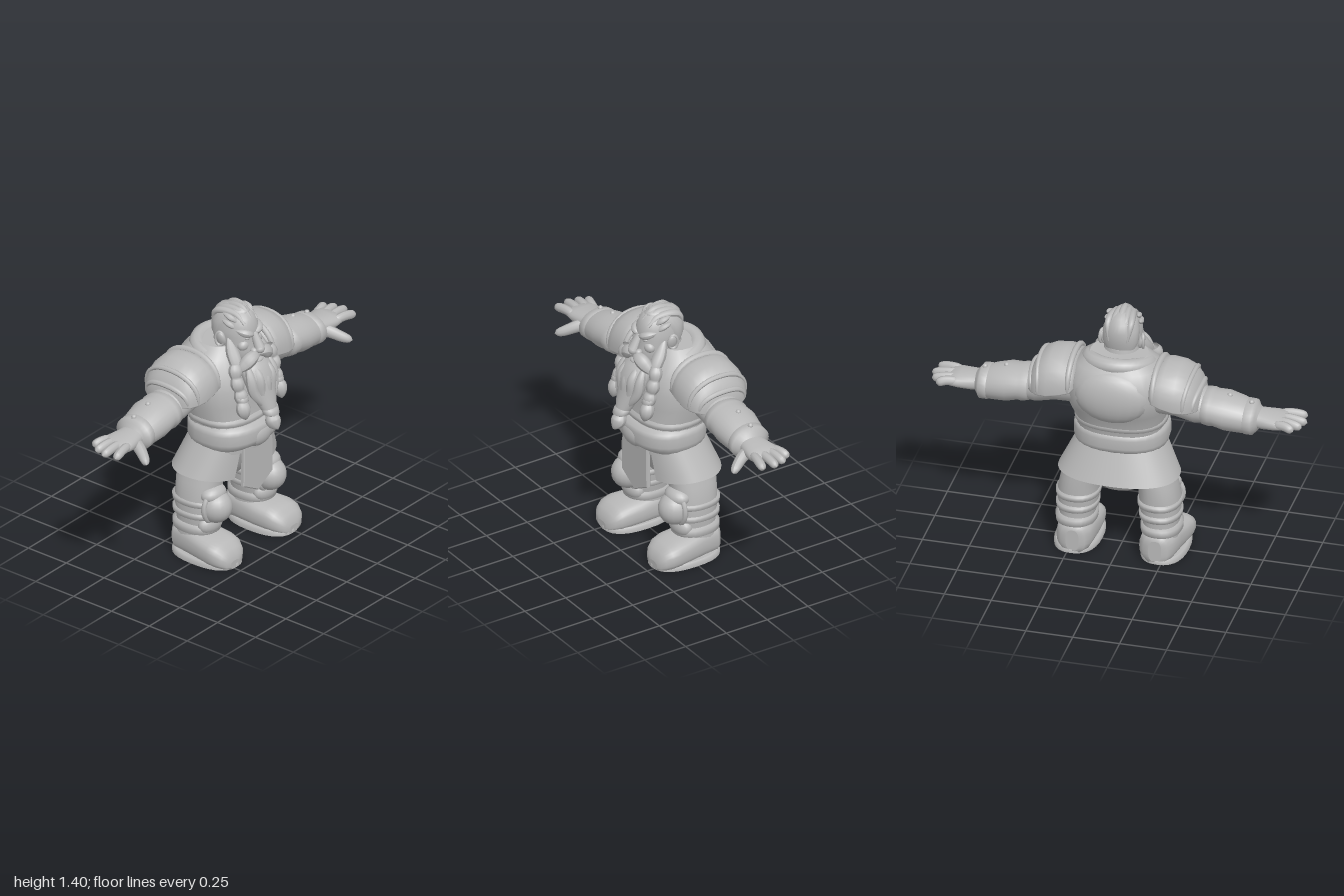
import * as THREE from 'three';

const stone = new THREE.MeshStandardMaterial({ color: 0xb8b8b8 });
stone.name = 'plain grey';
stone.side = THREE.DoubleSide;

const V = (a) => new THREE.Vector3(...a);
const power = (c, e) => Math.sign(c) * Math.abs(c) ** e;

// Rings of [t, centreU, centreV, radiusU, radiusV] along an axis; (u, v) is (y,z), (z,x) or (x,y).
// e < 1 makes the section boxy; low scales the negative u side (for flat undersides).
function loft(axis, rows, { e = 1, n = 28, low = 1 } = {}) {
  const pos = [], idx = [];
  const put = (t, u, v) => pos.push(...(axis === 'x' ? [t, u, v] : axis === 'y' ? [v, t, u] : [u, v, t]));
  const ring = ([t, cu, cv, ru, rv]) => {
    for (let j = 0; j < n; j++) {
      const a = (j / n) * Math.PI * 2, c = power(Math.cos(a), e);
      put(t, cu + ru * c * (c < 0 ? low : 1), cv + rv * power(Math.sin(a), e));
    }
  };
  rows.forEach(ring);
  for (let i = 0; i < rows.length - 1; i++) for (let j = 0; j < n; j++) {
    const a = i * n + j, b = i * n + (j + 1) % n;
    idx.push(a, b, b + n, a, b + n, a + n);
  }
  [rows[0], rows.at(-1)].forEach((r, k) => {
    const s = pos.length / 3;
    ring(r);
    put(r[0], r[1], r[2]);
    for (let j = 0; j < n; j++) {
      const a = s + j, b = s + (j + 1) % n;
      idx.push(s + n, ...(k ? [a, b] : [b, a]));
    }
  });
  const g = new THREE.BufferGeometry();
  g.setAttribute('position', new THREE.Float32BufferAttribute(pos, 3));
  g.setIndex(idx);
  g.computeVertexNormals();
  return g;
}

// Tube whose radius follows a function of 0..1 along the path.
function strand(points, radius, seg = 24) {
  const path = new THREE.CatmullRomCurve3(points.map(V));
  const g = new THREE.TubeGeometry(path, seg, 1, 10);
  const p = g.attributes.position, nr = g.attributes.normal, q = new THREE.Vector3(), m = new THREE.Vector3();
  for (let i = 0; i < p.count; i++) {
    const t = Math.floor(i / 11) / seg;
    path.getPointAt(t, q);
    q.addScaledVector(m.fromBufferAttribute(nr, i), radius(t));
    p.setXYZ(i, q.x, q.y, q.z);
  }
  g.computeVertexNormals();
  return g;
}
const taper = (r) => (t) => r * Math.sqrt(Math.max(0.001, 1 - Math.abs(2 * t - 1) ** 5));
const lock = (r) => (t) => r * Math.sin(Math.PI * (0.06 + 0.93 * t)) ** 0.7;

const blob = (c, r, rz = 0) => new THREE.SphereGeometry(1, 20, 14).scale(...r).rotateZ(rz).translate(...c);

function plate(points, depth) {
  return new THREE.ExtrudeGeometry(new THREE.Shape(points.map((p) => new THREE.Vector2(...p))),
    { depth, bevelEnabled: true, bevelSize: 0.006, bevelThickness: 0.005, bevelSegments: 1 });
}

// Flared cloth sheet wrapped round the hips, open at the front.
function skirtSheet() {
  const open = 0.42;
  const g = new THREE.CylinderGeometry(1, 1, 1, 48, 5, true, open, Math.PI * 2 - 2 * open);
  const p = g.attributes.position;
  for (let i = 0; i < p.count; i++) {
    const t = 0.5 - p.getY(i), x = p.getX(i), z = p.getZ(i);
    const hem = 0.478 - 0.03 * Math.max(0, z) ** 2;
    p.setXYZ(i, power(x, 0.85) * (0.225 + 0.095 * t), 0.67 + (hem - 0.67) * t,
      -0.015 - 0.045 * t + power(z, 0.85) * (0.175 + 0.03 * t));
  }
  g.computeVertexNormals();
  return g;
}

function mirrored(geo) {
  const g = geo.clone().scale(-1, 1, 1);
  const idx = g.index ? [...g.index.array] : Array.from({ length: g.attributes.position.count }, (_, i) => i);
  for (let i = 0; i < idx.length; i += 3) [idx[i], idx[i + 1]] = [idx[i + 1], idx[i]];
  return g.setIndex(idx);
}

export function createModel() {
  const model = new THREE.Group();
  model.name = 'bearded warrior';
  const add = (name, geo) => {
    const m = new THREE.Mesh(geo, stone);
    m.name = name;
    model.add(m);
  };
  const pair = (name, geo) => {
    add(name + 'Left', geo);
    add(name + 'Right', mirrored(geo));
  };

  // Torso, belt and collar
  add('torso', loft('y', [
    [0.6, -0.01, 0, 0.18, 0.22], [0.7, -0.01, 0, 0.19, 0.225], [0.79, -0.02, 0, 0.185, 0.235],
    [0.88, -0.045, 0, 0.21, 0.262], [0.97, -0.062, 0, 0.225, 0.272], [1.06, -0.07, 0, 0.208, 0.262],
    [1.13, -0.075, 0, 0.165, 0.22], [1.18, -0.07, 0, 0.12, 0.15]], { e: 0.82 }));
  add('belt', loft('y', [
    [0.62, 0, 0, 0.17, 0.225], [0.645, 0, 0, 0.2, 0.243], [0.67, 0, 0, 0.208, 0.25],
    [0.72, 0, 0, 0.208, 0.25], [0.745, 0, 0, 0.203, 0.245], [0.76, 0, 0, 0.175, 0.222]], { e: 0.85 }));
  add('beltBuckle', blob([0, 0.68, 0.165], [0.095, 0.07, 0.052]));
  add('waistFold', loft('y', [
    [0.75, -0.01, 0, 0.17, 0.22], [0.77, -0.015, 0, 0.192, 0.243], [0.79, -0.015, 0, 0.192, 0.243],
    [0.81, -0.02, 0, 0.18, 0.23]], { e: 0.85 }));
  add('collar', new THREE.TorusGeometry(0.13, 0.042, 12, 36).scale(1.15, 1, 1).rotateX(Math.PI / 2 + 0.2)
    .translate(0, 1.13, -0.06));
  add('backPlate', blob([0, 0.99, -0.215], [0.2, 0.15, 0.083]));

  // Skirt and hanging flap
  add('skirt', skirtSheet());
  add('frontFlap', plate([[-0.11, 0.66], [-0.115, 0.41], [0, 0.345], [0.115, 0.41], [0.11, 0.66]], 0.015)
    .translate(0, 0, 0.148));
  add('hips', loft('y', [[0.38, -0.06, 0, 0.07, 0.1], [0.43, -0.06, 0, 0.12, 0.2], [0.5, -0.05, 0, 0.15, 0.25],
    [0.6, -0.02, 0, 0.16, 0.225]]));

  // Legs, straps, knee guards and boots
  pair('leg', loft('y', [
    [0.06, -0.07, 0.225, 0.11, 0.095], [0.16, -0.06, 0.225, 0.112, 0.092], [0.21, -0.056, 0.222, 0.112, 0.095],
    [0.25, -0.055, 0.22, 0.12, 0.103], [0.34, -0.055, 0.216, 0.125, 0.108], [0.43, -0.057, 0.205, 0.128, 0.1],
    [0.52, -0.05, 0.18, 0.13, 0.1]], { e: 0.9 }));
  [[0.325, 0.04, 0.217, 0.122], [0.255, 0.04, 0.221, 0.118], [0.175, 0.055, 0.226, 0.115]]
    .forEach(([y, h, x, r], i) => pair('legStrap' + i, loft('y', [
      [y - h / 2, -0.058, x, r - 0.01, r - 0.025], [y - h / 3, -0.058, x, r + 0.014, r - 0.008],
      [y + h / 3, -0.058, x, r + 0.016, r - 0.006], [y + h / 2, -0.058, x, r - 0.01, r - 0.025]], { e: 0.9 })));
  pair('kneeGuard', blob([0.222, 0.305, 0.06], [0.085, 0.09, 0.092]));
  pair('kneeTopPlate', blob([0.222, 0.375, 0.045], [0.08, 0.05, 0.062]));
  pair('kneeRim', new THREE.TorusGeometry(0.082, 0.014, 8, 24).scale(1.05, 1.1, 1).translate(0.222, 0.31, 0.055));
  pair('shinGuard', blob([0.226, 0.2, 0.03], [0.085, 0.06, 0.05]));
  pair('boot', loft('z', [
    [-0.185, 0.22, 0.075, 0.035, 0.06], [-0.178, 0.22, 0.08, 0.065, 0.08], [-0.15, 0.22, 0.085, 0.092, 0.085],
    [-0.05, 0.225, 0.085, 0.104, 0.085], [0.03, 0.23, 0.077, 0.112, 0.077], [0.1, 0.237, 0.074, 0.118, 0.074],
    [0.15, 0.24, 0.066, 0.112, 0.066], [0.185, 0.242, 0.052, 0.092, 0.052], [0.203, 0.243, 0.036, 0.066, 0.036],
    [0.209, 0.243, 0.025, 0.035, 0.02]], { e: 0.75 }));
  pair('bootSole', loft('y', [
    [0, 0.012, 0.23, 0.198, 0.122], [0.022, 0.012, 0.23, 0.198, 0.122], [0.03, 0.012, 0.23, 0.185, 0.112]], { e: 0.82 }));

  // Shoulder armour
  pair('shoulderPlate', loft('x', [
    [0.2, 1.02, -0.09, 0.1, 0.15], [0.215, 1.01, -0.09, 0.15, 0.18], [0.27, 0.995, -0.093, 0.18, 0.187],
    [0.34, 0.98, -0.093, 0.188, 0.187], [0.39, 0.975, -0.093, 0.17, 0.176], [0.425, 0.97, -0.09, 0.13, 0.152],
    [0.447, 0.965, -0.09, 0.095, 0.12], [0.458, 0.965, -0.09, 0.05, 0.07]], { e: 0.88, low: 0.15 }));
  const arch = (x, y, ry, rz, bend) => Array.from({ length: 9 }, (_, i) => {
    const a = (i / 8) * Math.PI;
    return [x - bend * Math.cos(a) ** 2, y + ry * Math.sin(a) ** 0.88, -0.092 + rz * power(Math.cos(a), 0.88)];
  });
  pair('shoulderInnerRim', strand(arch(0.225, 1.0, 0.168, 0.178, 0), taper(0.016)));
  pair('shoulderOuterRim', strand(arch(0.405, 0.97, 0.16, 0.176, 0.02), taper(0.013)));
  pair('shoulderLowerRim', strand(arch(0.447, 0.965, 0.095, 0.14, 0.02), taper(0.014)));

  // Arms and bracers
  pair('upperArm', loft('x', [
    [0.18, 0.99, -0.08, 0.12, 0.13], [0.32, 0.98, -0.085, 0.11, 0.125], [0.42, 0.945, -0.085, 0.1, 0.115],
    [0.52, 0.93, -0.08, 0.08, 0.1]]));
  pair('bracer', loft('x', [
    [0.45, 0.935, -0.08, 0.07, 0.09], [0.465, 0.935, -0.08, 0.093, 0.12], [0.5, 0.932, -0.08, 0.096, 0.125],
    [0.52, 0.93, -0.08, 0.092, 0.12], [0.58, 0.922, -0.08, 0.1, 0.126], [0.66, 0.908, -0.078, 0.092, 0.113],
    [0.7, 0.9, -0.077, 0.083, 0.104]]));
  pair('bracerCuff', loft('x', [
    [0.675, 0.903, -0.077, 0.07, 0.09], [0.685, 0.902, -0.077, 0.09, 0.113], [0.725, 0.899, -0.075, 0.088, 0.113],
    [0.74, 0.897, -0.075, 0.07, 0.085], [0.76, 0.897, -0.072, 0.045, 0.06]]));
  [0.595, 0.71].forEach((x, i) => pair('bracerStud' + i, blob([x, 1.015 - (x - 0.595) * 0.22, -0.085], [0.014, 0.014, 0.014])));

  // Hands
  pair('palm', loft('x', [
    [0.72, 0.9, -0.072, 0.05, 0.068], [0.78, 0.897, -0.07, 0.047, 0.077], [0.84, 0.9, -0.072, 0.04, 0.088],
    [0.885, 0.9, -0.073, 0.03, 0.088], [0.9, 0.898, -0.073, 0.016, 0.075]], { e: 0.9 }));
  [[-0.132, -0.165, 0.95], [-0.095, -0.117, 0.985], [-0.053, -0.06, 1.0], [-0.013, 0.012, 0.985]].forEach(([z0, z1, x], i) =>
    pair('finger' + i, strand([[0.84, 0.905, z0], [0.91, 0.908, (z0 + z1) / 2], [x, 0.895, z1]], taper(0.0245), 16)));
  pair('thumb', strand([[0.76, 0.89, -0.05], [0.79, 0.87, 0.02], [0.815, 0.85, 0.065], [0.845, 0.832, 0.108]],
    (t) => taper(0.037 - 0.014 * t)(t), 16));

  // Head, ears and face
  add('neck', loft('y', [[1.06, -0.03, 0, 0.1, 0.11], [1.2, -0.01, 0, 0.09, 0.09]]));
  add('head', loft('y', [
    [1.08, 0.05, 0, 0.08, 0.065], [1.12, 0.042, 0, 0.11, 0.088], [1.18, 0.03, 0, 0.12, 0.097],
    [1.24, 0.022, 0, 0.117, 0.098], [1.26, 0.021, 0, 0.122, 0.096], [1.3, 0.018, 0, 0.118, 0.09],
    [1.335, 0.014, 0, 0.108, 0.076], [1.36, 0.013, 0, 0.085, 0.055], [1.37, 0.013, 0, 0.04, 0.025]], { e: 0.88 }));
  add('hairCap', loft('y', [
    [1.18, -0.045, 0, 0.045, 0.075], [1.24, -0.04, 0, 0.07, 0.096], [1.3, -0.025, 0, 0.088, 0.094],
    [1.345, 0, 0, 0.1, 0.076], [1.37, 0.01, 0, 0.085, 0.05], [1.382, 0.015, 0, 0.05, 0.028]]));
  [-0.05, -0.025, 0, 0.025, 0.05].forEach((x, i) => add('hairTuft' + i, strand([
    [x, 1.335 - Math.abs(x) * 0.4, 0.115], [x * 0.9, 1.378 - Math.abs(x) * 0.5, 0.05], [x * 1.2, 1.345, -0.06], [x, 1.25, -0.1]], lock(0.02))));
  [[0.075, 1.31], [0.065, 1.345]].forEach(([x, y], i) => pair('sideTuft' + i, strand([
    [x, y - 0.02, 0.075], [x + 0.012, y, 0.04], [x + 0.018, y + 0.015, 0]], lock(0.016), 10)));
  pair('ear', blob([0.1, 1.215, 0.0], [0.018, 0.044, 0.03], -0.25));
  pair('earRim', new THREE.TorusGeometry(0.03, 0.008, 8, 20).scale(0.8, 1.25, 1).rotateY(1.2).translate(0.108, 1.218, -0.002));
  pair('brow', strand([[0.006, 1.252, 0.14], [0.045, 1.265, 0.134], [0.086, 1.285, 0.085]], lock(0.021), 16));
  pair('eye', blob([0.04, 1.237, 0.126], [0.018, 0.011, 0.012], 0.2));
  pair('cheek', blob([0.052, 1.198, 0.108], [0.036, 0.03, 0.03], -0.3));
  add('noseBridge', strand([[0, 1.26, 0.135], [0, 1.22, 0.155], [0, 1.18, 0.175]], (t) => 0.018 + 0.01 * t, 12));
  add('noseTip', blob([0, 1.175, 0.174], [0.028, 0.024, 0.027]));
  pair('nostril', blob([0.027, 1.17, 0.158], [0.018, 0.016, 0.02]));
  add('lowerLip', blob([0, 1.108, 0.165], [0.035, 0.014, 0.02]));

  // Moustache, beard and braids
  pair('moustache', strand([[0.002, 1.145, 0.165], [0.045, 1.142, 0.165], [0.09, 1.11, 0.15], [0.135, 1.08, 0.14]], lock(0.038)));
  pair('sideburn', strand([[0.088, 1.23, 0.04], [0.095, 1.16, 0.07], [0.11, 1.1, 0.11], [0.13, 1.04, 0.14]], lock(0.036)));
  add('beard', loft('y', [
    [0.84, 0.235, 0, 0.04, 0.042], [0.9, 0.21, 0, 0.052, 0.066], [0.97, 0.18, 0, 0.064, 0.092],
    [1.04, 0.158, 0, 0.076, 0.103], [1.09, 0.13, 0, 0.07, 0.095], [1.13, 0.11, 0, 0.05, 0.07]]));
  [0.08, 0.042].forEach((x, i) => pair('beardLock' + i, strand([
    [x, 1.1, 0.16], [x * 1.1, 1.03, 0.188 + i * 0.02], [x, 0.96, 0.2 + i * 0.015], [x * 0.5, 0.87, 0.235]], lock(0.029))));
  add('beardMiddleLock', strand([[0, 1.09, 0.175], [0, 1.02, 0.212], [0, 0.95, 0.222], [0, 0.87, 0.245]], lock(0.03)));
  add('beardBand', loft('y', [
    [0.815, 0.25, 0, 0.03, 0.03], [0.825, 0.25, 0, 0.042, 0.047], [0.85, 0.24, 0, 0.042, 0.047], [0.86, 0.238, 0, 0.03, 0.035]]));
  add('beardTip', strand([[0, 0.83, 0.25], [0, 0.785, 0.262], [0, 0.74, 0.295]], lock(0.041), 16));
  pair('braid', strand([[0.135, 1.12, 0.12], [0.15, 1.05, 0.14], [0.145, 0.97, 0.162], [0.145, 0.92, 0.176]],
    (t) => 0.027 + 0.01 * Math.abs(Math.sin(t * Math.PI * 3)), 36));
  pair('braidBand', loft('y', [
    [0.925, 0.176, 0.145, 0.022, 0.022], [0.932, 0.175, 0.145, 0.035, 0.035],
    [0.955, 0.168, 0.145, 0.035, 0.035], [0.962, 0.166, 0.145, 0.022, 0.022]]));
  pair('braidTip', strand([[0.145, 0.94, 0.173], [0.15, 0.89, 0.186], [0.148, 0.83, 0.203]], lock(0.039), 16));

  return model;
}
